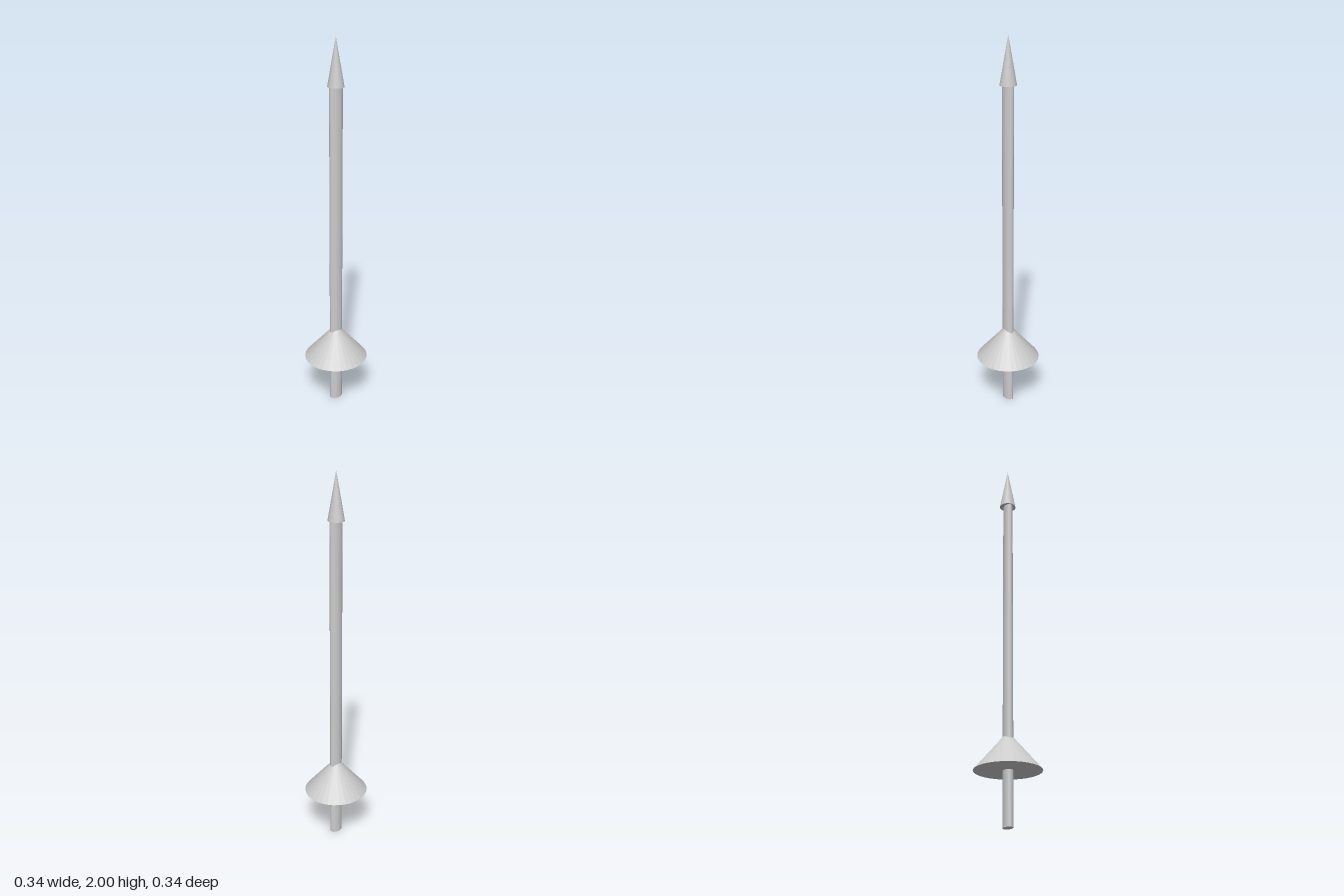
import * as THREE from 'three';

const SIDES = 32;
const material = new THREE.MeshStandardMaterial({ color: 0xcccccc, flatShading: true });

// Upright round part between two heights, with an elliptical section (rx across, rz deep)
function addPart(group, name, geometry, y0, y1, rx, rz, z = 0) {
  const mesh = new THREE.Mesh(geometry, material);
  mesh.name = name;
  mesh.scale.set(rx, y1 - y0, rz);
  mesh.position.set(0, (y0 + y1) / 2, z);
  group.add(mesh);
}

export function createModel() {
  const group = new THREE.Group();
  group.name = 'lance';
  const cylinder = new THREE.CylinderGeometry(1, 1, 1, SIDES);
  const cone = new THREE.ConeGeometry(1, 1, SIDES);

  // Oval shaft, its top seated inside the tip
  addPart(group, 'shaft', cylinder, 0, 1.787, 0.036, 0.024);
  // Wide conical hand guard, closed underneath
  addPart(group, 'handGuard', cone, 0.27, 0.465, 0.17, 0.168);
  // Pointed tip
  addPart(group, 'tip', cone, 1.763, 2, 0.041, 0.0435, -0.0015);

  return group;
}
